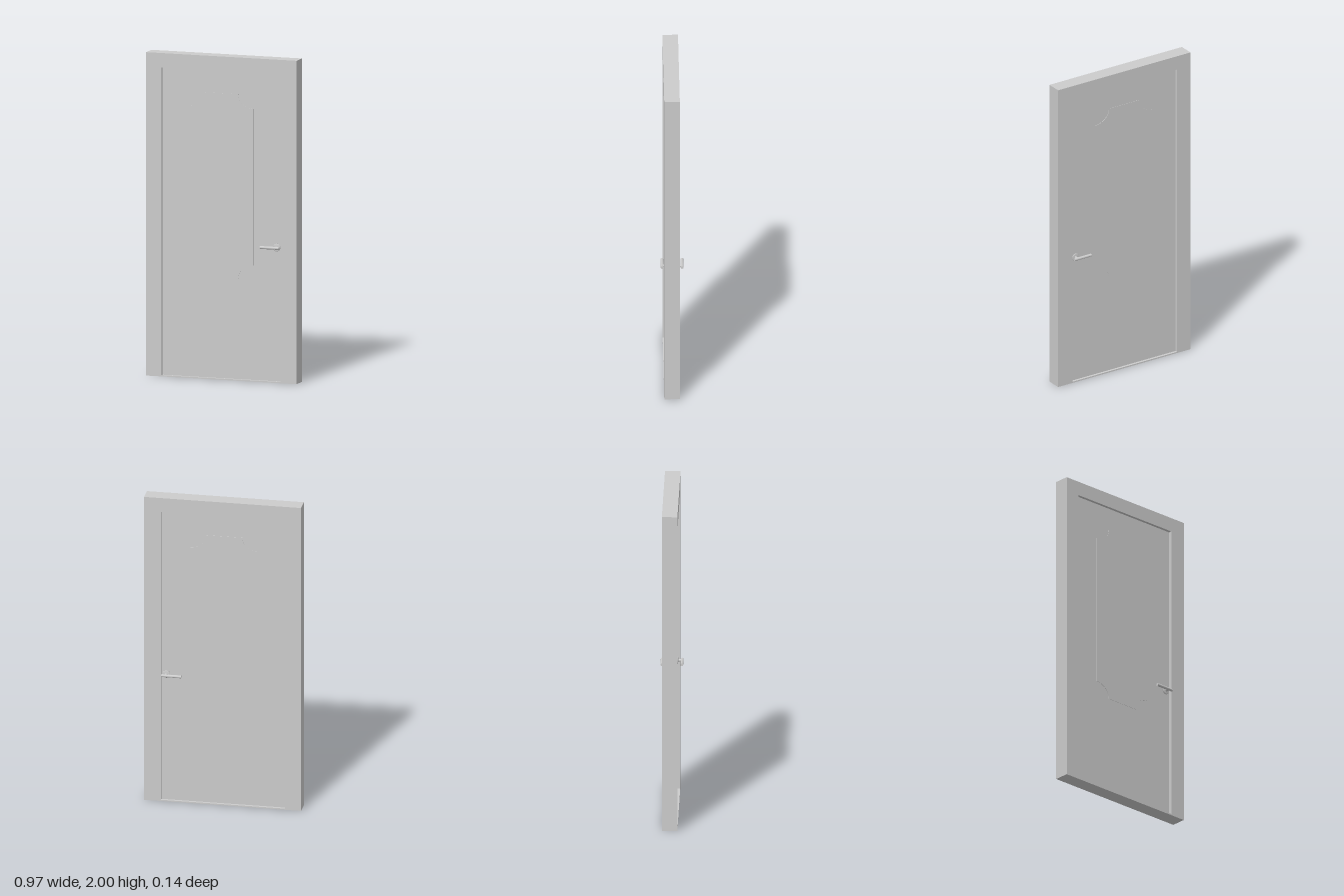
import * as THREE from 'three';

const material = new THREE.MeshStandardMaterial({ color: 0xcccccc });

function addMesh(parent, name, geometry, x = 0, y = 0, z = 0) {
  const mesh = new THREE.Mesh(geometry, material);
  mesh.name = name;
  mesh.position.set(x, y, z);
  parent.add(mesh);
  return mesh;
}

// Rectangle whose four corners are scooped out by quarter ellipses
function scoopedPanel(x0, x1, y0, y1, rx, ry) {
  const s = new THREE.Shape();
  s.moveTo(x0 + rx, y0);
  s.lineTo(x1 - rx, y0);
  s.absellipse(x1, y0, rx, ry, Math.PI, Math.PI / 2, true);
  s.lineTo(x1, y1 - ry);
  s.absellipse(x1, y1, rx, ry, Math.PI * 1.5, Math.PI, true);
  s.lineTo(x0 + rx, y1);
  s.absellipse(x0, y1, rx, ry, 0, -Math.PI / 2, true);
  s.lineTo(x0, y0 + ry);
  s.absellipse(x0, y0, rx, ry, Math.PI / 2, 0, true);
  return s;
}

// Lever handle on a round rose, reaching out along +z
function createHandle(name) {
  const handle = new THREE.Group();
  handle.name = name;
  const roseProfile = [[0, 0], [0.024, 0], [0.024, 0.004], [0.021, 0.007], [0, 0.008]]
    .map(([r, h]) => new THREE.Vector2(r, h));
  addMesh(handle, 'rose', new THREE.LatheGeometry(roseProfile, 32), 0.352, 0.835, 0.03)
    .rotation.x = Math.PI / 2;
  addMesh(handle, 'neck', new THREE.CylinderGeometry(0.008, 0.008, 0.03, 20), 0.352, 0.835, 0.046)
    .rotation.x = Math.PI / 2;
  addMesh(handle, 'lever', new THREE.CylinderGeometry(0.0088, 0.0088, 0.122, 24), 0.316, 0.835, 0.061)
    .rotation.z = Math.PI / 2;
  return handle;
}

export function createModel() {
  const door = new THREE.Group();
  door.name = 'door';

  // Surround with a thin threshold along the floor
  const outline = new THREE.Shape();
  outline.moveTo(-0.487, 0).lineTo(0.487, 0).lineTo(0.487, 2).lineTo(-0.487, 2).closePath();
  const opening = new THREE.Path();
  opening.moveTo(-0.388, 0.008).lineTo(-0.388, 1.91).lineTo(0.383, 1.91).lineTo(0.383, 0.008).closePath();
  outline.holes.push(opening);
  addMesh(door, 'frame', new THREE.ExtrudeGeometry(outline, { depth: 0.095, bevelEnabled: false }), 0, 0, -0.046);

  // Leaf, set back from both faces of the frame
  addMesh(door, 'leaf', new THREE.BoxGeometry(0.771, 1.902, 0.06), -0.0025, 0.959, 0);

  // Shallow panel standing just proud of both sides of the leaf
  const panel = scoopedPanel(-0.22, 0.203, 0.63, 1.77, 0.1, 0.087);
  addMesh(door, 'panel', new THREE.ExtrudeGeometry(panel, { depth: 0.064, bevelEnabled: false, curveSegments: 16 }), 0, 0, -0.032);

  // Matching handles; the back one is the front one turned and shifted to the same edge
  door.add(createHandle('frontHandle'));
  const back = createHandle('backHandle');
  back.rotation.x = Math.PI;
  back.position.y = 0.835 * 2;
  door.add(back);

  return door;
}
